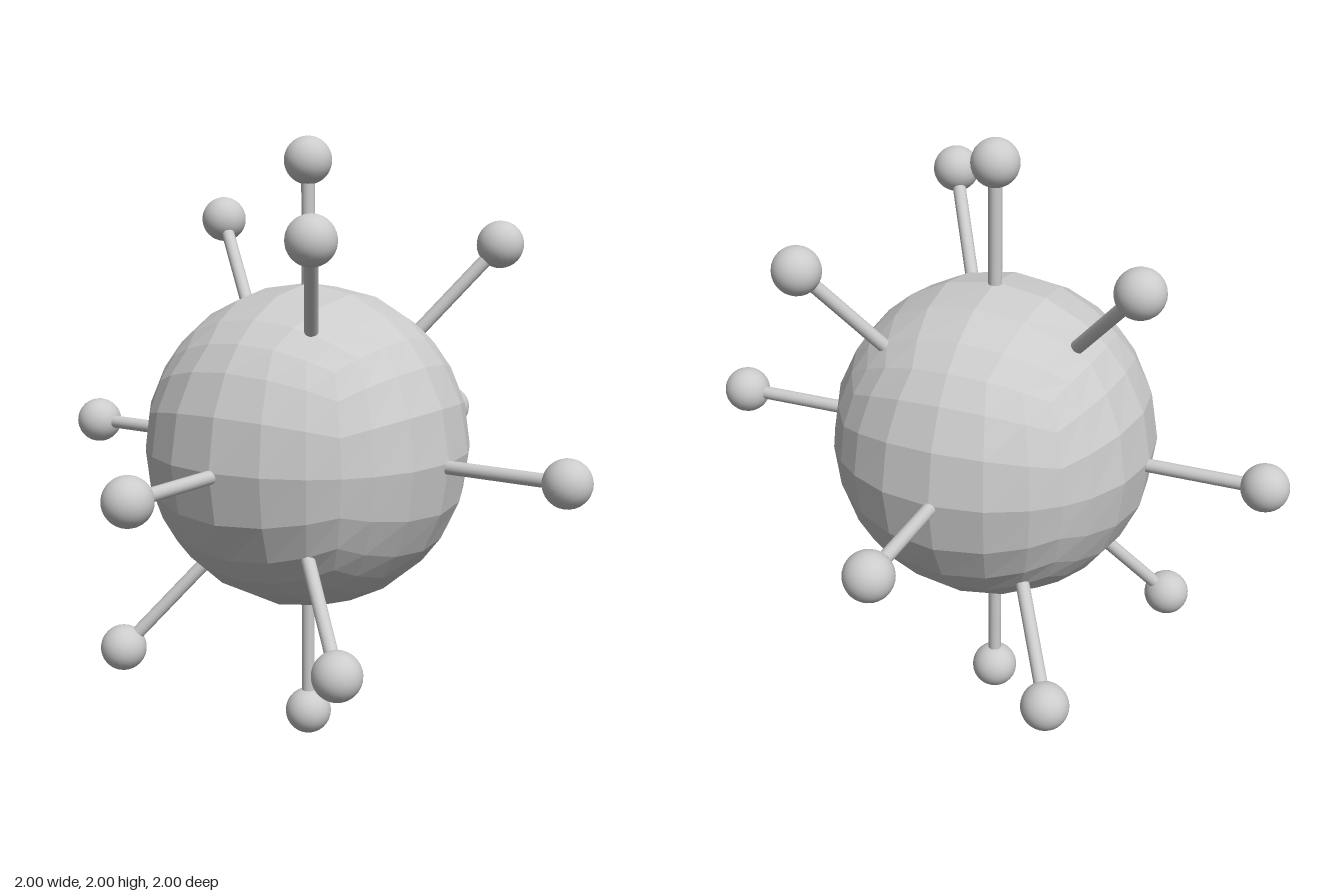
import * as THREE from 'three';

export function createModel() {
  const model = new THREE.Group();
  model.name = 'spikedBall';
  const smooth = new THREE.MeshStandardMaterial({ color: 0xcccccc });
  const faceted = new THREE.MeshStandardMaterial({ color: 0xcccccc, flatShading: true });

  // Body: a gridded cube blown up into a faceted sphere
  const center = new THREE.Vector3(-0.013, 1.0, 0.015);
  const bodyGeometry = new THREE.BoxGeometry(2, 2, 2, 6, 6, 6);
  const pos = bodyGeometry.attributes.position;
  const v = new THREE.Vector3();
  for (let i = 0; i < pos.count; i++) {
    v.fromBufferAttribute(pos, i).setLength(0.533);
    pos.setXYZ(i, v.x, v.y, v.z);
  }
  bodyGeometry.computeVertexNormals();
  const body = new THREE.Mesh(bodyGeometry, faceted);
  body.name = 'body';
  body.position.copy(center);
  model.add(body);

  // Spike: a thin rod sunk into the body with a round knob on its outer end
  const knobGeometry = new THREE.SphereGeometry(0.077, 32, 16);
  const up = new THREE.Vector3(0, 1, 0);
  const rodLength = 0.56;
  const rodGeometry = new THREE.CylinderGeometry(0.022, 0.022, rodLength, 16);
  rodGeometry.translate(0, rodLength / 2, 0);

  function addSpike(tip, inward) {
    const spike = new THREE.Group();
    spike.name = 'spike';
    spike.position.set(...tip);
    spike.quaternion.setFromUnitVectors(up, new THREE.Vector3(...inward).normalize());
    const rod = new THREE.Mesh(rodGeometry, smooth);
    rod.name = 'rod';
    const knob = new THREE.Mesh(knobGeometry, smooth);
    knob.name = 'knob';
    spike.add(rod, knob);
    model.add(spike);
  }

  // Six spikes along the axes
  const axisCenter = [-0.013, 0.987, 0.013];
  const middle = [0, 1, 0];
  for (let axis = 0; axis < 3; axis++) {
    for (const side of [-1, 1]) {
      const tip = [...axisCenter];
      tip[axis] = middle[axis] + side * 0.923;
      const inward = [0, 0, 0];
      inward[axis] = -side;
      addSpike(tip, inward);
    }
  }

  // Six slanted spikes: knob position, direction towards the body
  const slanted = [
    [[-0.585, 1.70, -0.295], [0.245, -0.28, 0.19]],
    [[0.335, 1.715, 0.507], [-0.155, -0.295, -0.228]],
    [[0.463, 1.65, -0.402], [-0.21, -0.28, 0.16]],
    [[0.468, 0.457, 0.568], [-0.225, 0.273, -0.18]],
    [[-0.53, 0.30, 0.362], [0.228, 0.30, -0.172]],
    [[-0.41, 0.385, -0.54], [0.14, 0.24, 0.187]],
  ];
  for (const [tip, inward] of slanted) addSpike(tip, inward);

  return model;
}
